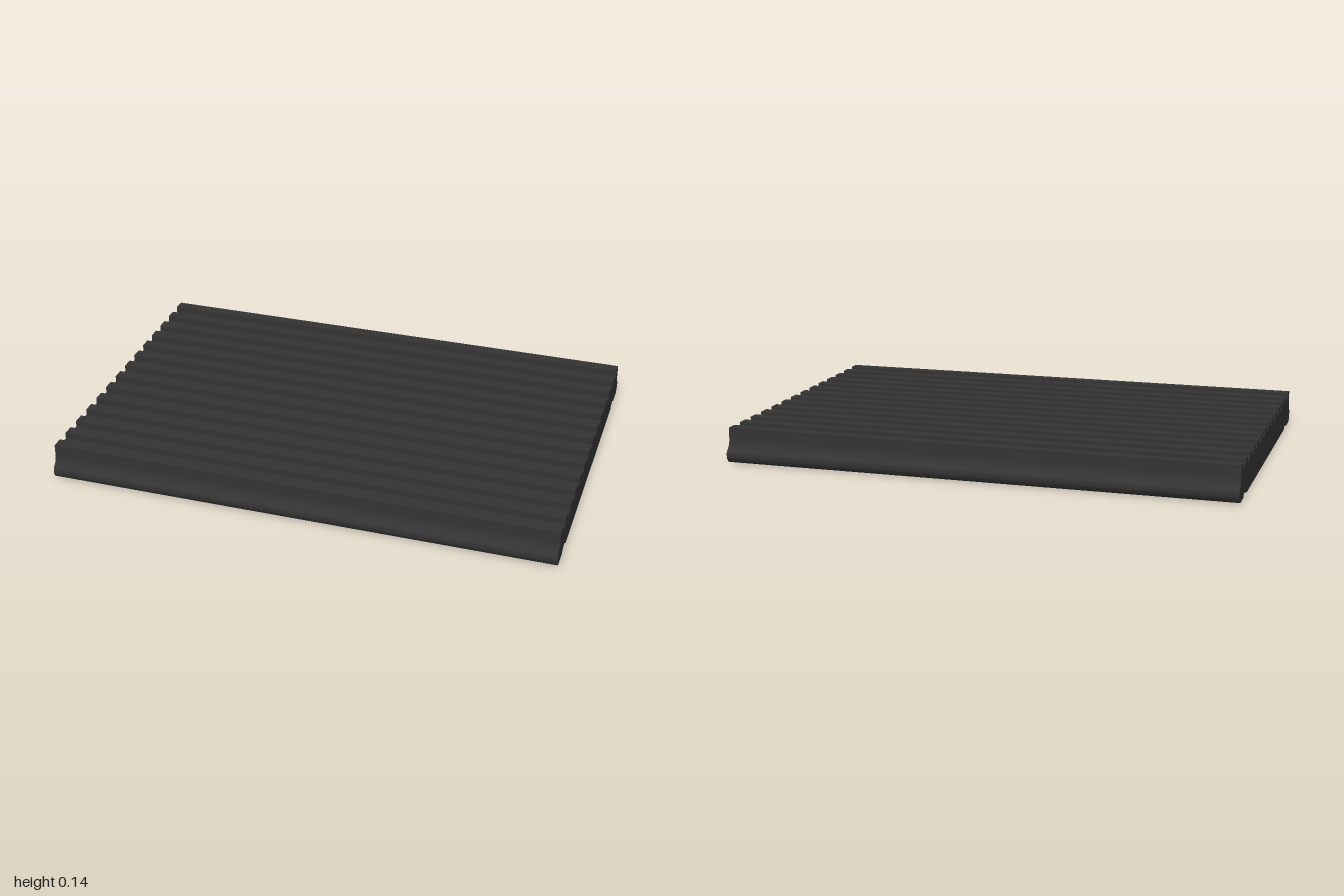
import * as THREE from 'three';
import { toCreasedNormals } from 'three/addons/utils/BufferGeometryUtils.js';

const LENGTH = 2, TOP = 0.139, FLOOR = 0.115;
const RIDGES = 14, RIDGE_WIDTH = 0.047, EDGE = 0.644;

// Cross-section of the board, traced counter-clockwise
function boardProfile() {
  const s = new THREE.Shape();

  // underside with a shallow rounded channel near each edge
  s.moveTo(-0.648, 0.002);
  s.lineTo(-0.58, 0.002);
  s.bezierCurveTo(-0.565, 0.028, -0.525, 0.028, -0.505, 0.002);
  s.lineTo(0.505, 0.002);
  s.bezierCurveTo(0.525, 0.028, 0.565, 0.028, 0.58, 0.002);
  s.lineTo(0.648, 0.002);

  // bullnose foot and cove up to the outer ridge
  s.bezierCurveTo(0.662, 0.005, 0.672, 0.018, 0.672, 0.035);
  s.quadraticCurveTo(0.672, 0.048, 0.665, 0.053);
  s.quadraticCurveTo(EDGE, 0.07, EDGE, 0.098);

  // square ridges with grooves between
  const pitch = (2 * EDGE - RIDGE_WIDTH) / (RIDGES - 1);
  for (let i = 0; i < RIDGES; i++) {
    const a = EDGE - i * pitch, b = a - RIDGE_WIDTH;
    if (i > 0) s.lineTo(a, FLOOR);
    s.lineTo(a, TOP);
    s.lineTo(b, TOP);
    if (i < RIDGES - 1) s.lineTo(b, FLOOR);
  }

  // opposite edge, mirrored
  s.lineTo(-EDGE, 0.098);
  s.quadraticCurveTo(-EDGE, 0.07, -0.665, 0.053);
  s.quadraticCurveTo(-0.672, 0.048, -0.672, 0.035);
  s.bezierCurveTo(-0.672, 0.018, -0.662, 0.005, -0.648, 0.002);
  return s;
}

export function createModel() {
  const group = new THREE.Group();
  group.name = 'groovedDeckingBoard';

  // one continuous extrusion running along x
  const extruded = new THREE.ExtrudeGeometry(boardProfile(), {
    depth: LENGTH, bevelEnabled: false, curveSegments: 10,
  });
  extruded.translate(0, -0.002, -LENGTH / 2);
  extruded.rotateY(Math.PI / 2);

  const board = new THREE.Mesh(
    toCreasedNormals(extruded, Math.PI / 6),
    new THREE.MeshStandardMaterial({ color: 0x333333 })
  );
  board.name = 'board';
  group.add(board);
  return group;
}
